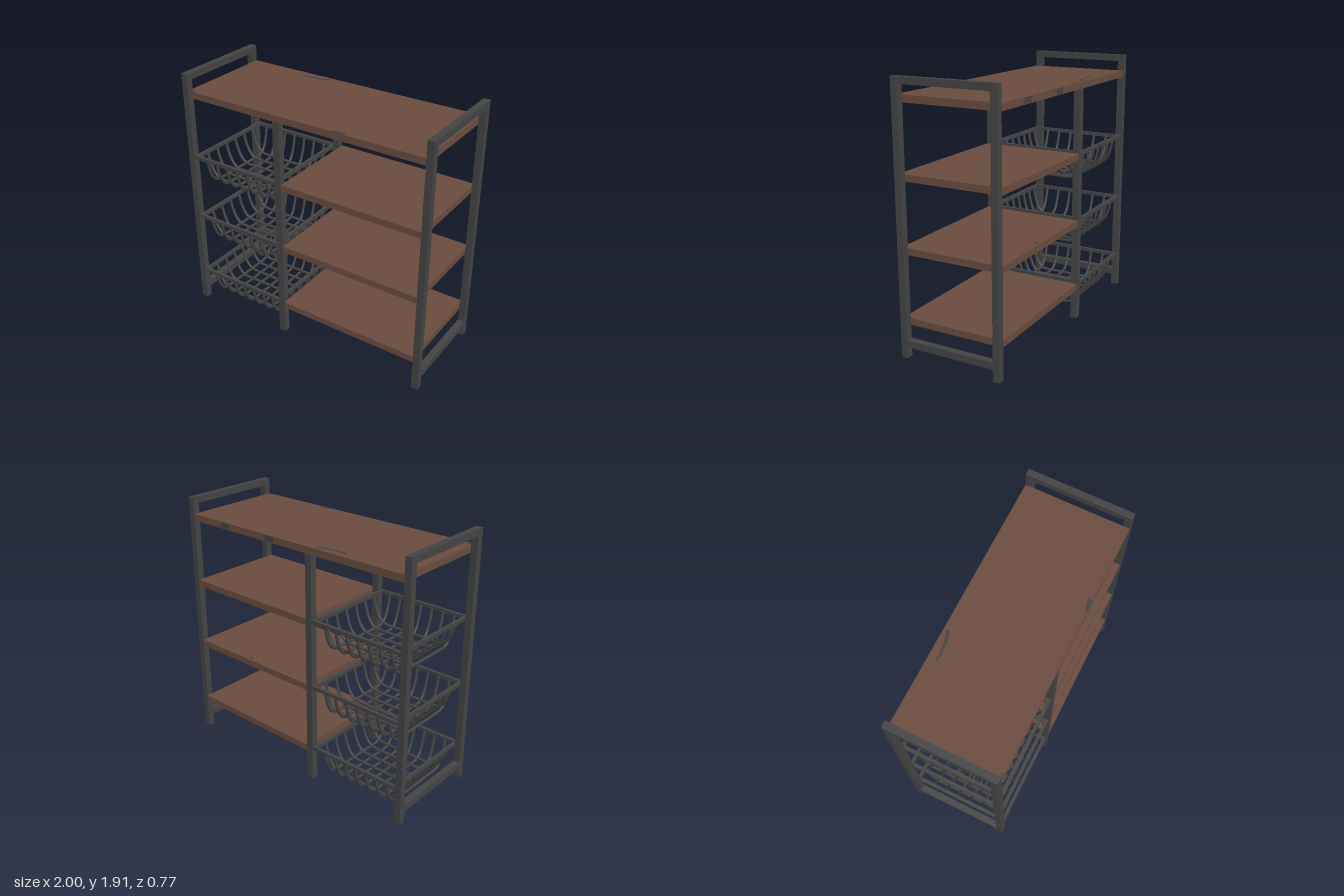
import * as THREE from 'three';

const metal = new THREE.MeshStandardMaterial({ color: 0x444444 });
metal.name = 'dark metal';
const wood = new THREE.MeshStandardMaterial({ color: 0x6b4c3f });
wood.name = 'brown wood';

// Box given by its minimum and maximum corners
function box(parent, name, material, x0, x1, y0, y1, z0, z1) {
  const mesh = new THREE.Mesh(new THREE.BoxGeometry(x1 - x0, y1 - y0, z1 - z0), material);
  mesh.position.set((x0 + x1) / 2, (y0 + y1) / 2, (z0 + z1) / 2);
  mesh.name = name;
  parent.add(mesh);
}

// U-shaped wire: straight floor with two rounded sides, mapped into 3D by place(u, y)
function wire(parent, name, half, control, flat, depth, place) {
  const path = new THREE.CurvePath();
  path.add(new THREE.QuadraticBezierCurve3(place(-half, -0.01), place(-control, -depth), place(-flat, -depth)));
  path.add(new THREE.LineCurve3(place(-flat, -depth), place(flat, -depth)));
  path.add(new THREE.QuadraticBezierCurve3(place(flat, -depth), place(control, -depth), place(half, -0.01)));
  const mesh = new THREE.Mesh(new THREE.TubeGeometry(path, 24, 0.011, 8), metal);
  mesh.name = name;
  parent.add(mesh);
}

// Wire basket with its origin at the centre of the rim's top
function makeBasket() {
  const basket = new THREE.Group();
  basket.name = 'wireBasket';
  for (const s of [-1, 1]) {
    const z = s * 0.37, x = s * 0.362;
    box(basket, 'rimLong', metal, -0.374, 0.374, -0.025, 0, z - 0.0125, z + 0.0125);
    box(basket, 'rimShort', metal, x - 0.0125, x + 0.0125, -0.025, 0, -0.36, 0.36);
  }
  // Ribs running front to back
  for (let i = -3; i <= 3; i++) {
    const x = i * 0.0925, outer = Math.abs(i) === 3;
    wire(basket, 'crossRib', 0.355, 0.325, 0.235, outer ? 0.225 : 0.233,
      (u, y) => new THREE.Vector3(x, y, u));
  }
  // Ribs running side to side
  for (let i = 0; i < 6; i++) {
    const z = (i - 2.5) * 0.105;
    wire(basket, 'longRib', 0.351, 0.315, 0.22, 0.208, (u, y) => new THREE.Vector3(u, y, z));
  }
  return basket;
}

// Thin dark worn mark lying on a shelf top
function mark(parent, points, y) {
  const shape = new THREE.Shape(points.map(([x, z]) => new THREE.Vector2(x, -z)));
  const mesh = new THREE.Mesh(new THREE.ExtrudeGeometry(shape, { depth: 0.002, bevelEnabled: false }), metal);
  mesh.rotation.x = -Math.PI / 2;
  mesh.position.y = y;
  mesh.name = 'darkMark';
  parent.add(mesh);
}

export function createModel() {
  const model = new THREE.Group();
  model.name = 'shelfRack';

  // Side frames: posts joined by a top and a bottom rail
  for (const s of [-1, 1]) {
    const frame = new THREE.Group();
    frame.name = s > 0 ? 'leftFrame' : 'rightFrame';
    const x0 = s > 0 ? 0.95 : -1, x1 = x0 + 0.05;
    box(frame, 'frontPost', metal, x0, x1, 0, 1.915, 0.337, 0.387);
    box(frame, 'backPost', metal, x0, x1, 0, 1.915, -0.387, -0.337);
    box(frame, 'topRail', metal, x0, x1, 1.867, 1.915, -0.337, 0.337);
    box(frame, 'bottomRail', metal, x0, x1, 0.083, 0.133, -0.337, 0.337);
    model.add(frame);
  }

  // Middle posts under the top shelf
  box(model, 'middleFrontPost', metal, -0.203, -0.15, 0, 1.745, 0.337, 0.387);
  box(model, 'middleBackPost', metal, -0.203, -0.15, 0, 1.745, -0.387, -0.337);

  // Shelves and baskets
  box(model, 'topShelf', wood, -0.95, 0.95, 1.745, 1.795, -0.385, 0.385);
  for (const y of [0.28, 0.78, 1.283]) {
    box(model, 'shelf', wood, -0.15, 0.95, y - 0.052, y - 0.003, -0.385, 0.385);
    const basket = makeBasket();
    basket.position.set(-0.576, y, 0);
    model.add(basket);
  }

  // Dark marks on the shelves
  mark(model, [[-0.46, -0.33], [-0.34, -0.335], [-0.29, -0.345], [-0.25, -0.365], [-0.23, -0.355],
    [-0.24, -0.335], [-0.29, -0.322], [-0.43, -0.312]], 1.795);
  mark(model, [[-0.95, 0.35], [-0.91, 0.36], [-0.88, 0.385], [-0.95, 0.385]], 1.795);
  mark(model, [[0.26, 0.385], [0.3, 0.36], [0.37, 0.35], [0.36, 0.385]], 1.795);
  mark(model, [[0.41, -0.36], [0.45, -0.365], [0.46, -0.345], [0.42, -0.34]], 0.777);
  for (const x of [0.62, 0.18]) {
    box(model, 'edgeMark', metal, x - 0.045, x + 0.045, 1.75, 1.79, -0.387, -0.385);
  }
  return model;
}
